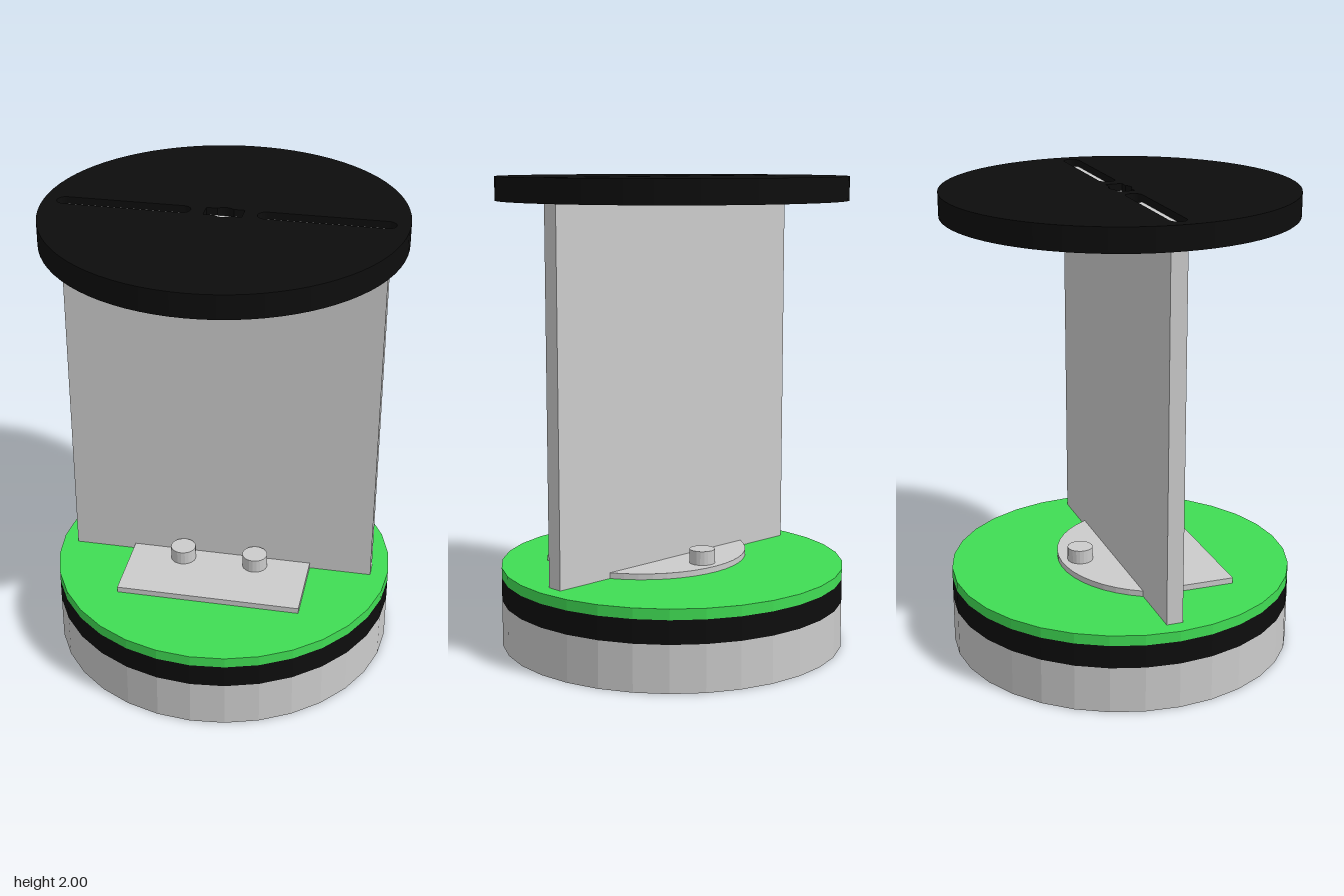
import * as THREE from 'three';

const grey = new THREE.MeshStandardMaterial({ color: 0xcccccc, flatShading: true });
const black = new THREE.MeshStandardMaterial({ color: 0x0d0d0d, flatShading: true });
const green = new THREE.MeshStandardMaterial({ color: 0x40dd54, flatShading: true });

const R = 0.74;          // radius of base and lid
const T = 0.035;         // half thickness of the upright panel
const DECK = 0.345;      // top of the green deck

export function createModel() {
  const model = new THREE.Group();

  const add = (name, geometry, material, x = 0, y = 0, z = 0) => {
    const mesh = new THREE.Mesh(geometry, material);
    mesh.name = name;
    mesh.position.set(x, y, z);
    model.add(mesh);
  };
  // Upright cylinder and box given by their bottom and top heights
  const disc = (name, r, y0, y1, sides, material, x = 0, z = 0) =>
    add(name, new THREE.CylinderGeometry(r, r, y1 - y0, sides), material, x, (y0 + y1) / 2, z);
  const block = (name, x0, x1, y0, y1, z0, z1) =>
    add(name, new THREE.BoxGeometry(x1 - x0, y1 - y0, z1 - z0), grey,
      (x0 + x1) / 2, (y0 + y1) / 2, (z0 + z1) / 2);
  // Horizontal slab from an outline, shape y pointing to the back
  const slab = (name, shape, y0, y1, segments, material) => {
    const geometry = new THREE.ExtrudeGeometry(shape, { depth: y1 - y0, bevelEnabled: false, curveSegments: segments });
    geometry.rotateX(-Math.PI / 2);
    add(name, geometry, material, 0, y0, 0);
  };

  // Layered round base
  disc('baseDrum', R, 0, 0.2, 32, grey);
  disc('baseBand', R, 0.2, 0.3, 32, black);
  disc('deck', R, 0.3, DECK, 32, green);

  // Upright panel with tabs that sit in the lid's openings
  block('panel', -0.67, 0.665, DECK, 1.9, -T, T);
  for (const side of [-1, 1]) {
    const ends = [side * 0.17, side * 0.667].sort((a, b) => a - b);
    block('panelTab', ends[0], ends[1], 1.9, 1.97, -T, T);
  }
  block('centreTab', -0.078, 0.078, 1.9, 1.97, -T, T);
  disc('centrePin', 0.048, 1.9, 1.96, 24, grey);

  // Lid with two rounded slots and a keyed centre hole
  const lid = new THREE.Shape();
  lid.absarc(0, 0, R, 0, Math.PI * 2);
  for (const side of [-1, 1]) {
    const slot = new THREE.Path();
    slot.absarc(side * 0.41 + 0.24, 0, T, -Math.PI / 2, Math.PI / 2);
    slot.absarc(side * 0.41 - 0.24, 0, T, Math.PI / 2, Math.PI * 1.5);
    slot.closePath();
    lid.holes.push(slot);
  }
  const pinAngle = Math.asin(T / 0.048);
  const keyhole = new THREE.Path();
  keyhole.moveTo(0.078, -T);
  keyhole.lineTo(0.078, T);
  keyhole.absarc(0, 0, 0.048, pinAngle, Math.PI - pinAngle);
  keyhole.lineTo(-0.078, T);
  keyhole.lineTo(-0.078, -T);
  keyhole.absarc(0, 0, 0.048, Math.PI + pinAngle, Math.PI * 2 - pinAngle);
  keyhole.closePath();
  lid.holes.push(keyhole);
  slab('lid', lid, 1.9, 2, 40, black);

  // Rectangular plate with two studs in front of the panel
  block('frontPlate', -0.4, 0.395, DECK, 0.37, T, 0.37);
  for (const x of [-0.165, 0.157]) disc('frontStud', 0.055, 0.37, 0.43, 20, grey, x, 0.095);

  // Segment-shaped plate with one stud behind the panel
  const reach = Math.asin(0.395 / 0.45);
  const segment = new THREE.Shape();
  segment.absarc(0, -0.18, 0.45, Math.PI / 2 - reach, Math.PI / 2 + reach);
  segment.closePath();
  slab('backPlate', segment, DECK, 0.37, 8, grey);
  disc('backStud', 0.055, 0.37, 0.43, 20, grey, 0, -0.185);

  return model;
}
